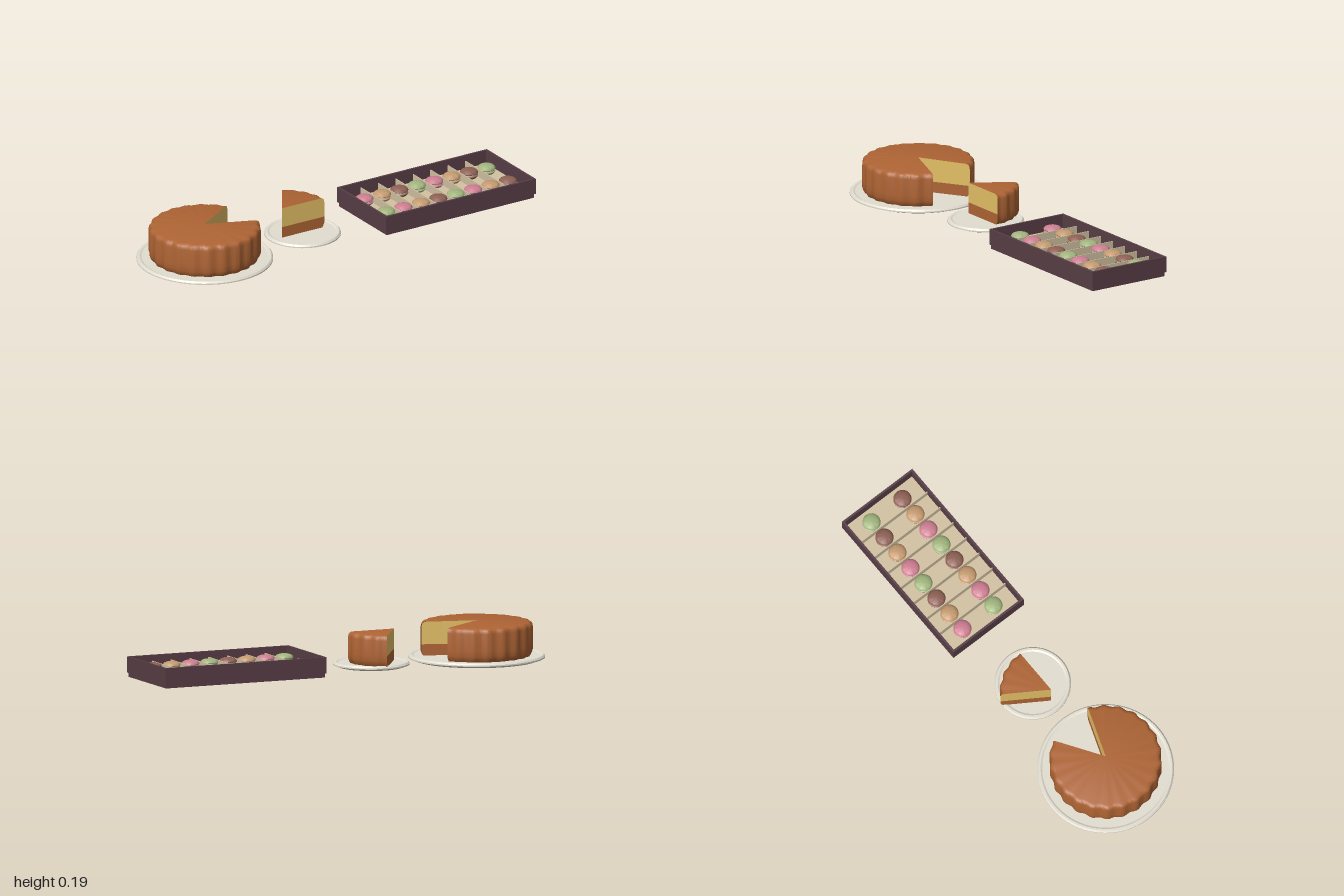
import * as THREE from 'three';
import { toCreasedNormals } from 'three/addons/utils/BufferGeometryUtils.js';

const paint = (name, color, side = THREE.FrontSide) => {
  const m = new THREE.MeshStandardMaterial({ color, side });
  m.name = name;
  return m;
};
const rad = THREE.MathUtils.degToRad;

export function createModel() {
  const model = new THREE.Group();
  const mats = {
    caramel: paint('caramel', 0xae6434, THREE.DoubleSide),
    cream: paint('cream', 0xe3bf66, THREE.DoubleSide),
    china: paint('china', 0xe2ddd0),
    plum: paint('plum card', 0x583e46),
    liner: paint('liner', 0xd2c2a2),
    pink: paint('pink', 0xce7f92),
    tan: paint('tan', 0xc69b70),
    cocoa: paint('cocoa', 0x8f6154),
    green: paint('green', 0xa2b67e),
  };

  const add = (parent, name, geo, mat, x = 0, y = 0, z = 0) => {
    const mesh = new THREE.Mesh(geo, mat);
    mesh.name = name;
    mesh.position.set(x, y, z);
    parent.add(mesh);
    return mesh;
  };
  const group = (name, x, z) => {
    const g = new THREE.Group();
    g.name = name;
    g.position.set(x, 0, z);
    model.add(g);
    return g;
  };
  const vec = (list) => list.map(([x, y]) => new THREE.Vector2(x, y));

  // Shallow plate with a bevelled rim
  function plate(name, r, x) {
    const profile = vec([
      [0, 0.004], [r - 0.028, 0.004], [r, 0.014], [r, 0.02], [r - 0.007, 0.028],
      [r - 0.016, 0.028], [r - 0.024, 0.024], [0, 0.024],
    ]);
    const geo = toCreasedNormals(new THREE.LatheGeometry(profile, 64), rad(25));
    add(group(name, x, 0), name + 'Dish', geo, mats.china);
  }

  // Sector of cake: scalloped caramel coat plus two layered cut faces
  function cake(name, x, z, R, top, dome, startDeg, lengthDeg) {
    const g = group(name, x, z);
    const base = 0.024, split = 0.076;
    const profile = [
      [0, base], [R - 0.012, base], [R - 0.005, 0.035], [R, 0.05], [R, split],
      [R, top - 0.025], [R - 0.003, top - 0.01], [R - 0.01, top - 0.003],
      [R - 0.022, top], [0, top + dome],
    ];
    const start = rad(startDeg), length = rad(lengthDeg);
    const coat = new THREE.LatheGeometry(vec(profile), Math.ceil(lengthDeg / 2), start, length);
    const p = coat.attributes.position;
    for (let i = 0; i < p.count; i++) {
      const px = p.getX(i), pz = p.getZ(i), r = Math.hypot(px, pz);
      if (r < R * 0.5) continue;
      const s = 1 + 0.016 * Math.sin(Math.atan2(px, pz) * 22);
      p.setX(i, px * s);
      p.setZ(i, pz * s);
    }
    add(g, name + 'Coat', toCreasedNormals(coat, rad(35)), mats.caramel);

    const lower = new THREE.Shape(vec([...profile.slice(0, 5), [0, split]]));
    const upper = new THREE.Shape(vec([[0, split], ...profile.slice(4)]));
    for (const phi of [start, start + length]) {
      const face = new THREE.Group();
      face.name = name + 'CutFace';
      face.rotation.y = phi - Math.PI / 2;
      add(face, 'crustLayer', new THREE.ShapeGeometry(lower), mats.caramel);
      add(face, 'creamLayer', new THREE.ShapeGeometry(upper), mats.cream);
      g.add(face);
    }
  }

  plate('cakePlate', 0.316, -0.684);
  cake('cake', -0.684, 0, 0.256, 0.181, 0.004, 123, 307);
  plate('slicePlate', 0.177, -0.147);
  cake('slice', -0.268, 0.012, 0.234, 0.171, 0, 90, 57);

  // Open gift box: inset base, four walls, liner and dividers
  const box = group('sweetBox', 0.589, 0);
  const W = 0.822, D = 0.416, T = 0.01, H = 0.075, wallY = 0.02 + H / 2;
  add(box, 'boxBase', new THREE.BoxGeometry(W - 0.012, 0.022, D - 0.01), mats.plum, 0, 0.011, 0);
  for (const s of [-1, 1]) {
    add(box, 'longWall', new THREE.BoxGeometry(W, H, T), mats.plum, 0, wallY, s * (D - T) / 2);
    add(box, 'endWall', new THREE.BoxGeometry(T, H, D - 2 * T), mats.plum, s * (W - T) / 2, wallY, 0);
  }
  add(box, 'liner', new THREE.BoxGeometry(W - 2 * T, 0.008, D - 2 * T), mats.liner, 0, 0.025, 0);
  const pitch = 0.0957;
  for (let i = -3; i <= 3; i++) {
    add(box, 'divider', new THREE.BoxGeometry(0.004, 0.04, D - 2 * T), mats.liner, i * pitch, 0.048, 0);
  }

  // Macarons: two domed shells around a cream filling
  const shell = toCreasedNormals(new THREE.LatheGeometry(vec([
    [0, 0], [0.039, 0], [0.042, 0.003], [0.041, 0.008], [0.035, 0.014], [0.022, 0.019], [0, 0.021],
  ]), 24), rad(50));
  const filling = new THREE.CylinderGeometry(0.038, 0.038, 0.008, 24);
  const flavours = ['pink', 'tan', 'cocoa', 'green'];
  [-0.094, 0.089].forEach((z, row) => {
    for (let i = 0; i < 8; i++) {
      const mat = mats[flavours[(i + row * 3) % 4]];
      const m = new THREE.Group();
      m.name = 'macaron';
      m.position.set((i - 3.5) * pitch, 0.054, z);
      add(m, 'topShell', shell, mat, 0, 0.003, 0);
      add(m, 'bottomShell', shell, mat, 0, -0.003, 0).rotation.x = Math.PI;
      add(m, 'filling', filling, mats.liner);
      box.add(m);
    }
  });

  return model;
}
